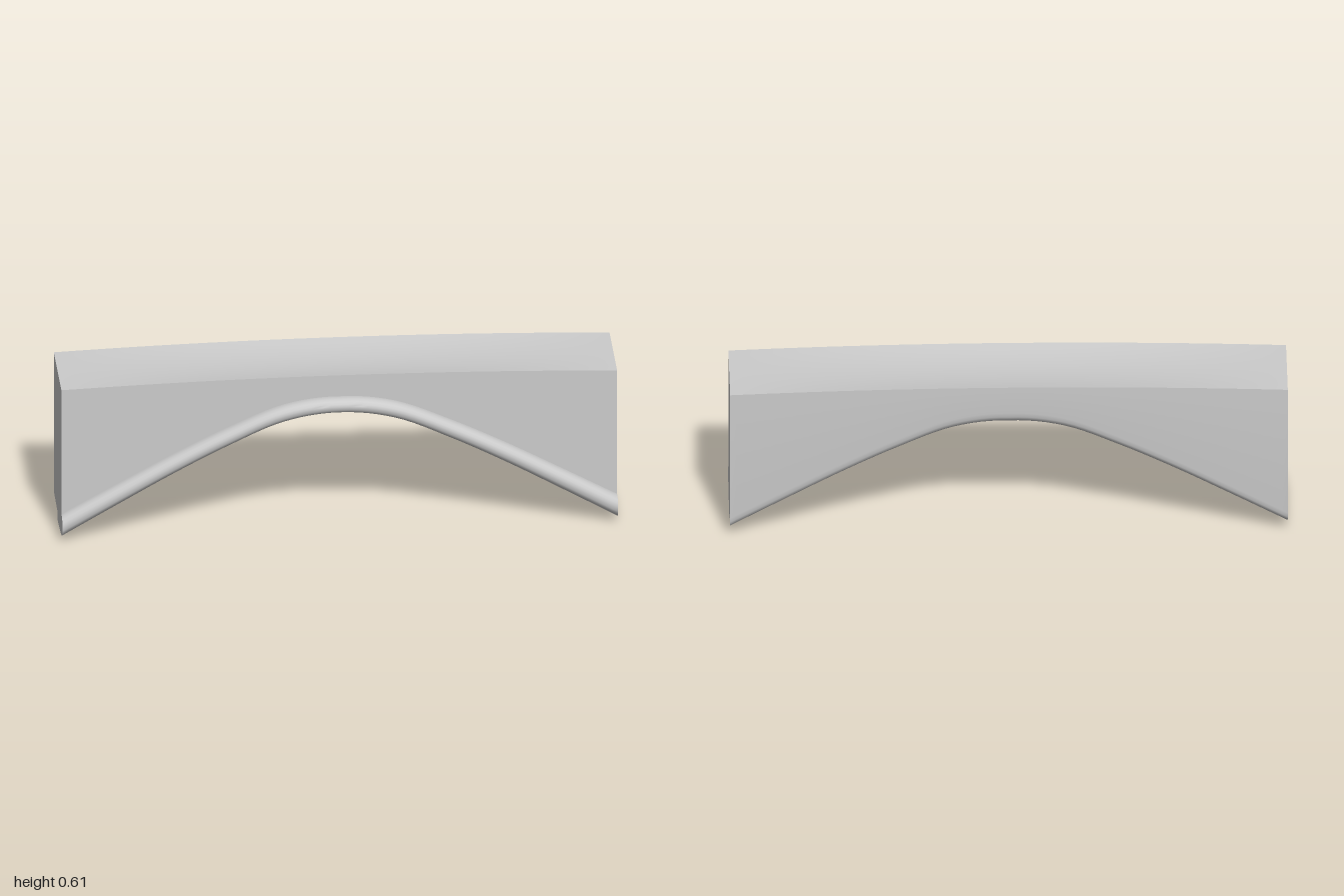
import * as THREE from 'three';
import { toCreasedNormals } from 'three/addons/utils/BufferGeometryUtils.js';

const STEPS = 60;
// heights of the arch underside from the crown to one end, mirrored to both sides
const HALF = [0.455, 0.425, 0.337, 0.232, 0.117, 0];
const archPoints = [];
for (let i = -5; i <= 5; i++) archPoints.push(new THREE.Vector2(i / 5, HALF[Math.abs(i)]));
const arch = new THREE.SplineCurve(archPoints);

const lipHeight = (x) => 0.07 + 0.03 * Math.abs(x);
const stepHeight = (x) => 0.033 * Math.abs(x);

// slightly dished top, flat at both ends
function topHeight(x, z) {
  const t = (z + 0.0225) / 0.1625;
  return 0.588 + (1 - x * x) * (0.004 + 0.016 * t * t);
}

// cross-sections are counter-clockwise lists of [z, y]
function bodySection(x, y) {
  const s = y + stepHeight(x);
  const section = [
    [-0.185, s + 0.047], [-0.183, s + 0.03], [-0.178, s + 0.018], [-0.165, s + 0.007],
    [-0.1, s + 0.002], [-0.035, s], [0.14, y + lipHeight(x)],
  ];
  for (let i = 0; i <= 10; i++) {
    const z = 0.14 - 0.0325 * i;
    section.push([z, topHeight(x, z)]);
  }
  return section;
}

function lipSection(x, y) {
  const h = lipHeight(x);
  const profile = [
    [-0.035, 0], [0.03, 0.03], [0.09, 0.08], [0.135, 0.15], [0.16, 0.23], [0.176, 0.35],
    [0.184, 0.5], [0.185, 0.68], [0.182, 0.8], [0.174, 0.91], [0.16, 0.97], [0.14, 1],
  ];
  const section = profile.map(([z, v]) => [z, y + v * h]);
  section.push([-0.035, y + stepHeight(x) + 0.001]);
  return section;
}

// skin the cross-sections along the arch and close both ends
function loft(sectionAt) {
  const rings = [];
  for (let i = 0; i <= STEPS; i++) {
    const p = arch.getPoint(i / STEPS);
    rings.push(sectionAt(p.x, p.y).map(([z, y]) => [p.x, y, z]));
  }
  const n = rings[0].length;
  const pos = [];
  const tri = (a, b, c) => pos.push(...a, ...b, ...c);
  for (let i = 0; i < STEPS; i++) {
    for (let j = 0; j < n; j++) {
      const k = (j + 1) % n;
      const a = rings[i][j], b = rings[i + 1][j], c = rings[i + 1][k], d = rings[i][k];
      tri(a, b, c);
      tri(a, c, d);
    }
  }
  const first = rings[0], last = rings[STEPS];
  const outline = first.map(([, y, z]) => new THREE.Vector2(z, y));
  for (const [a, b, c] of THREE.ShapeUtils.triangulateShape(outline, [])) {
    tri(first[a], first[b], first[c]);
    tri(last[a], last[c], last[b]);
  }
  const geometry = new THREE.BufferGeometry();
  geometry.setAttribute('position', new THREE.Float32BufferAttribute(pos, 3));
  return toCreasedNormals(geometry, 0.7);
}

export function createModel() {
  const group = new THREE.Group();
  group.name = 'archedBeam';
  const material = new THREE.MeshStandardMaterial({ color: 0xcccccc });
  const add = (name, section) => {
    const mesh = new THREE.Mesh(loft(section), material);
    mesh.name = name;
    group.add(mesh);
  };
  add('archBody', bodySection); // wall above the arch
  add('archLip', lipSection); // rounded moulding along the front lower edge
  return group;
}
